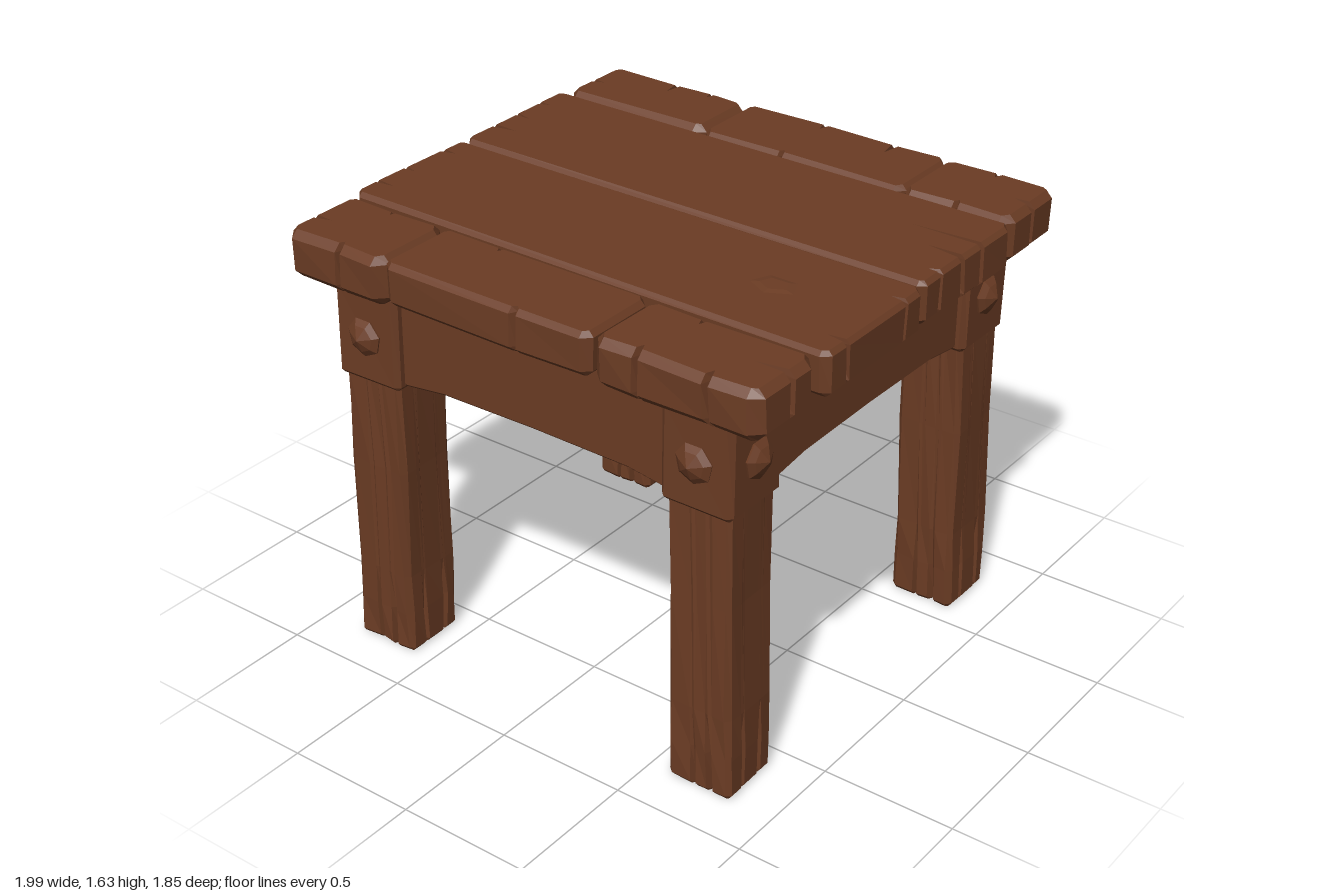
import * as THREE from 'three';

const wood = new THREE.MeshStandardMaterial({ color: 0x6b3c24 });
wood.name = 'brown wood';

// Flat-faced normals for a hewn look
function faceted(geo) {
  const g = geo.index ? geo.toNonIndexed() : geo;
  g.computeVertexNormals();
  return g;
}

function addMesh(parent, name, geo) {
  const m = new THREE.Mesh(faceted(geo), wood);
  m.name = name;
  parent.add(m);
  return m;
}

// Plan outline: chamfered rectangle with wedge cracks [side, fraction, width, depth]
// sides: 0 back, 1 left (+x), 2 front, 3 right (-x)
function outline(f, [y, inset, crack]) {
  const { x0, x1, z0, z1, c, cracks = [], skew = 0, wobble = 0.004 } = f;
  const place = [
    (u, v) => [x0 + u, z0 + v], (u, v) => [x1 - v, z0 + u],
    (u, v) => [x1 - u, z1 - v], (u, v) => [x0 + v, z1 - u],
  ];
  const pts = [];
  place.forEach((at, side) => {
    const len = side % 2 ? z1 - z0 : x1 - x0;
    pts.push(at(c, 0));
    cracks.filter((k) => k[0] === side).sort((a, b) => a[1] - b[1]).forEach(([, t, w, d]) => {
      pts.push(at(t * len - w / 2, 0), at(t * len, d * crack), at(t * len + w / 2, 0));
    });
    pts.push(at(len - c, 0));
  });
  return pts.map(([x, z], i) => {
    const px = THREE.MathUtils.clamp(x, x0 + inset, x1 - inset);
    const pz = THREE.MathUtils.clamp(z, z0 + inset, z1 - inset);
    const s = i * 12.9 + y * 7 + x0 * 31 + z0 * 17;
    return new THREE.Vector3(px + Math.sin(s) * wobble, y, pz + skew * px + Math.cos(s * 1.7) * wobble);
  });
}

// Skin stacked outlines; rings are [y, inset, crack strength] from bottom to top
function loft(f, rings) {
  const loops = rings.map((r) => outline(f, r));
  const out = [];
  const tri = (...v) => v.forEach((p) => out.push(p.x, p.y, p.z));
  for (let j = 0; j + 1 < loops.length; j++) {
    const a = loops[j], b = loops[j + 1];
    a.forEach((p, i) => {
      const n = (i + 1) % a.length;
      tri(p, b[i], b[n]);
      tri(p, b[n], a[n]);
    });
  }
  const cap = (loop, flip) => {
    const flat = loop.map((p) => new THREE.Vector2(p.x, p.z));
    THREE.ShapeUtils.triangulateShape(flat, []).forEach(([a, b, c]) =>
      flip ? tri(loop[a], loop[c], loop[b]) : tri(loop[a], loop[b], loop[c]));
  };
  cap(loops[0], false);
  cap(loops[loops.length - 1], true);
  const g = new THREE.BufferGeometry();
  g.setAttribute('position', new THREE.Float32BufferAttribute(out, 3));
  return g;
}

function plank(parent, name, x0, x1, z0, z1, y0, bevel, cracks, skew = 0) {
  const f = { x0, x1, z0, z1, c: bevel + 0.012, cracks, skew };
  addMesh(parent, name, loft(f, [
    [y0, bevel, 0.3], [y0 + bevel, 0, 0.4], [1.628 - bevel * 0.8, 0, 0.9], [1.63, bevel * 0.8, 1],
  ]));
}

// Apron board with a slightly arched lower edge
function apronGeometry() {
  const s = new THREE.Shape();
  [[-0.6, 1.1], [-0.54, 1.105], [-0.38, 1.125], [0, 1.13], [0.4, 1.125], [0.54, 1.105], [0.6, 1.1],
    [0.6, 1.48], [-0.6, 1.48]].forEach(([x, y], i) => (i ? s.lineTo(x, y) : s.moveTo(x, y)));
  return new THREE.ExtrudeGeometry(s, {
    depth: 0.1, bevelEnabled: true, bevelThickness: 0.01, bevelSize: 0.01, bevelOffset: -0.01, bevelSegments: 1,
  });
}

// Faceted stud pointing along +z
function studGeometry() {
  const p = [[0.06, -0.02], [0.073, 0.012], [0.05, 0.028], [0, 0.05]].map(([r, y]) => new THREE.Vector2(r, y));
  return new THREE.LatheGeometry(p, 7).rotateX(Math.PI / 2);
}

export function createModel() {
  const table = new THREE.Group();
  table.name = 'woodenTable';

  // Table top: two wide boards between two segmented edge boards
  const top = new THREE.Group();
  top.name = 'tableTop';
  table.add(top);
  plank(top, 'backCentreBoard', -0.99, 0.98, -0.582, -0.015, 1.47, 0.018, [
    [1, 0.35, 0.02, 0.27], [1, 0.55, 0.025, 0.14], [1, 0.8, 0.02, 0.05],
    [3, 0.28, 0.025, 0.11], [3, 0.5, 0.02, 0.08], [3, 0.75, 0.02, 0.06]], 0.008);
  plank(top, 'frontCentreBoard', -0.985, 0.995, 0.0, 0.565, 1.47, 0.018, [
    [1, 0.2, 0.02, 0.06], [1, 0.8, 0.02, 0.08],
    [3, 0.2, 0.02, 0.09], [3, 0.45, 0.02, 0.06], [3, 0.8, 0.025, 0.07]], 0.008);
  plank(top, 'frontEdgeBoardRight', -0.97, -0.522, 0.578, 0.915, 1.45, 0.032, [
    [3, 0.4, 0.025, 0.09], [2, 0.45, 0.025, 0.05], [0, 0.5, 0.02, 0.05]]);
  plank(top, 'frontEdgeBoardMiddle', -0.53, 0.335, 0.582, 0.912, 1.47, 0.022, [
    [2, 0.35, 0.03, 0.03], [0, 0.3, 0.02, 0.04]]);
  plank(top, 'frontEdgeBoardLeft', 0.338, 0.975, 0.585, 0.905, 1.45, 0.032, [
    [1, 0.45, 0.025, 0.14], [2, 0.3, 0.025, 0.05], [2, 0.72, 0.025, 0.06], [0, 0.35, 0.02, 0.06]]);
  plank(top, 'backEdgeBoardRight', -0.985, -0.345, -0.92, -0.605, 1.45, 0.032, [
    [0, 0.5, 0.025, 0.1], [0, 0.75, 0.02, 0.05], [3, 0.45, 0.025, 0.07]]);
  plank(top, 'backEdgeBoardMiddle', -0.338, 0.525, -0.922, -0.592, 1.47, 0.022, [
    [0, 0.4, 0.025, 0.05], [0, 0.75, 0.025, 0.1], [2, 0.6, 0.02, 0.04]]);
  plank(top, 'backEdgeBoardLeft', 0.518, 0.955, -0.928, -0.59, 1.45, 0.03, [
    [1, 0.5, 0.025, 0.08], [0, 0.5, 0.025, 0.05], [2, 0.5, 0.02, 0.05]]);

  // Shallow knot in the front board
  const knot = addMesh(top, 'knot', new THREE.CylinderGeometry(0.04, 0.075, 0.006, 5));
  knot.scale.set(1.4, 1, 1);
  knot.position.set(0.6, 1.631, 0.28);

  // Four corners: cracked leg, square collar and two studs
  const stud = studGeometry();
  for (const sx of [-1, 1]) for (const sz of [-1, 1]) {
    const corner = new THREE.Group();
    corner.name = `${sz > 0 ? 'front' : 'back'}${sx > 0 ? 'Left' : 'Right'}Leg`;
    table.add(corner);

    const box = (half) => ({
      x0: sx * 0.695 - half, x1: sx * 0.695 + half, z0: sz * 0.697 - half, z1: sz * 0.697 + half,
    });
    const cracks = [];
    for (let side = 0; side < 4; side++) {
      cracks.push([side, side % 2 ? 0.28 : 0.32, 0.025, 0.04], [side, side % 2 ? 0.68 : 0.58, 0.02, 0.03]);
    }
    const leg = loft({ ...box(0.125), c: 0.018, cracks }, [
      [0, 0.012, 1], [0.015, 0, 1], [0.16, 0, 0.5], [0.32, 0, 0], [0.75, 0.001, 0], [1.12, 0.002, 0],
    ]);
    // Legs splay slightly toward the floor
    const pos = leg.attributes.position;
    for (let i = 0; i < pos.count; i++) {
      const lean = 0.012 * (1 - pos.getY(i) / 1.1);
      pos.setX(i, pos.getX(i) + sx * lean);
      pos.setZ(i, pos.getZ(i) + sz * lean * 0.6);
    }
    addMesh(corner, 'post', leg);

    addMesh(corner, 'collar', loft({ ...box(0.14), c: 0.02, wobble: 0.003 }, [
      [1.09, 0.015, 0], [1.106, 0, 0], [1.44, 0, 0], [1.475, 0.015, 0],
    ]));

    const frontStud = addMesh(corner, 'stud', stud);
    frontStud.position.set(sx * 0.695, 1.27, sz * 0.832);
    frontStud.rotation.y = sz > 0 ? 0 : Math.PI;
    const sideStud = addMesh(corner, 'sideStud', stud);
    sideStud.position.set(sx * 0.83, 1.27, sz * 0.695);
    sideStud.rotation.y = sx * Math.PI / 2;
  }

  // Aprons joining the collars on all four sides
  const apron = apronGeometry();
  ['frontApron', 'leftApron', 'backApron', 'rightApron'].forEach((name, i) => {
    const side = new THREE.Group();
    side.name = name;
    side.rotation.y = i * Math.PI / 2;
    addMesh(side, 'board', apron).position.z = 0.69;
    table.add(side);
  });

  return table;
}
